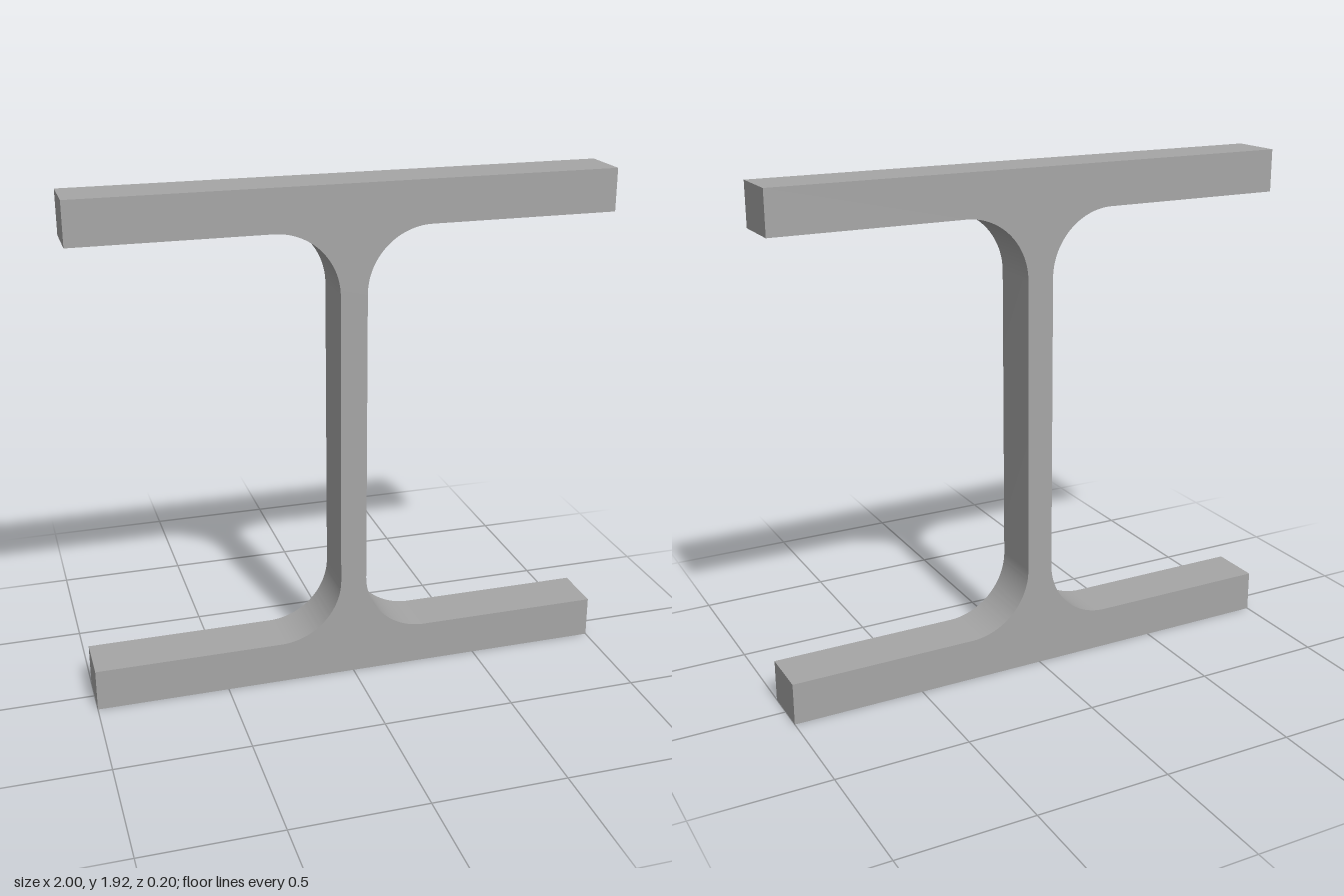
import * as THREE from 'three';
import { toCreasedNormals } from 'three/addons/utils/BufferGeometryUtils.js';

const HEIGHT = 1.92, HALF_WIDTH = 1, DEPTH = 0.2;
const FLANGE = 0.16, HALF_WEB = 0.05, FILLET = 0.24;

// I-shaped cross-section with rounded inner corners, drawn counter-clockwise
function beamProfile() {
  const low = FLANGE, high = HEIGHT - FLANGE;
  const cx = HALF_WEB + FILLET, cyLow = low + FILLET, cyHigh = high - FILLET;
  const s = new THREE.Shape();
  s.moveTo(-HALF_WIDTH, 0);
  s.lineTo(HALF_WIDTH, 0);
  s.lineTo(HALF_WIDTH, low);
  s.absarc(cx, cyLow, FILLET, -Math.PI / 2, -Math.PI, true);
  s.absarc(cx, cyHigh, FILLET, Math.PI, Math.PI / 2, true);
  s.lineTo(HALF_WIDTH, high);
  s.lineTo(HALF_WIDTH, HEIGHT);
  s.lineTo(-HALF_WIDTH, HEIGHT);
  s.lineTo(-HALF_WIDTH, high);
  s.absarc(-cx, cyHigh, FILLET, Math.PI / 2, 0, true);
  s.absarc(-cx, cyLow, FILLET, 0, -Math.PI / 2, true);
  s.lineTo(-HALF_WIDTH, low);
  s.closePath();
  return s;
}

export function createModel() {
  const steel = new THREE.MeshStandardMaterial({ color: 0xa6a6a6 });
  steel.name = 'steel grey';

  // Short slice of beam, extruded along z and centred
  const geometry = new THREE.ExtrudeGeometry(beamProfile(), {
    depth: DEPTH, bevelEnabled: false, curveSegments: 24,
  });
  geometry.translate(0, 0, -DEPTH / 2);

  const beam = new THREE.Mesh(toCreasedNormals(geometry, Math.PI / 6), steel);
  beam.name = 'beam';

  const model = new THREE.Group();
  model.name = 'I-beam section';
  model.add(beam);
  return model;
}
